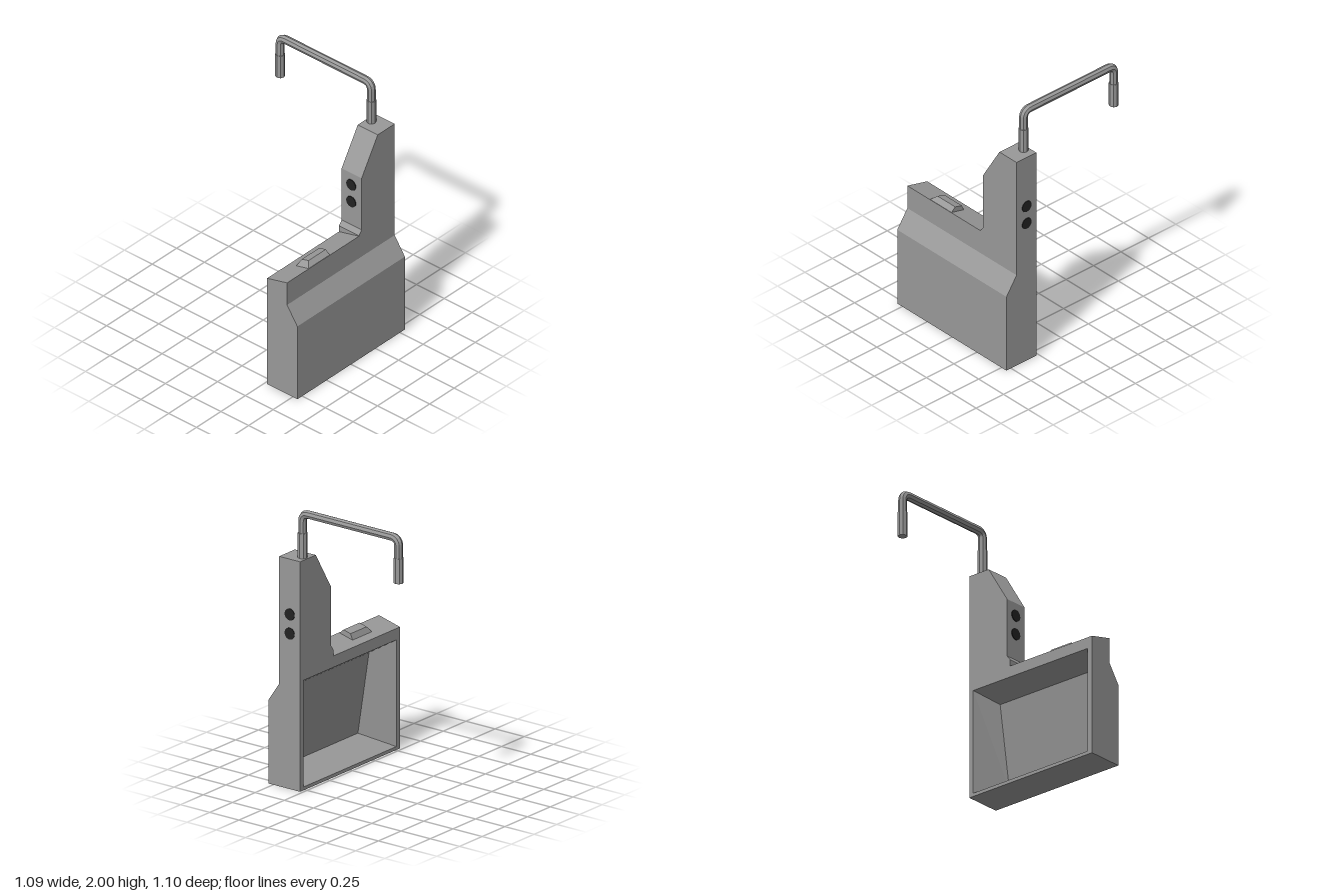
import * as THREE from 'three';

const grey = new THREE.MeshStandardMaterial({ color: 0x999999, flatShading: true });
grey.name = 'grey metal';
const black = new THREE.MeshStandardMaterial({ color: 0x222222, flatShading: true });
black.name = 'black';

// Flat-faced geometry from polygons, each fanned from its first corner
function faceted(polygons) {
  const pos = [];
  for (const p of polygons)
    for (let i = 1; i < p.length - 1; i++) pos.push(...p[0], ...p[i], ...p[i + 1]);
  const g = new THREE.BufferGeometry();
  g.setAttribute('position', new THREE.Float32BufferAttribute(pos, 3));
  g.computeVertexNormals();
  return g;
}

export function createModel() {
  const group = new THREE.Group();
  const add = (name, geometry, material = grey) => {
    const m = new THREE.Mesh(geometry, material);
    m.name = name;
    group.add(m);
    return m;
  };
  const X0 = 0.27, X1 = 0.45, Z = 0.55;

  // Lower housing: front profile swept along z, with a tapered recess on the inner side
  const profile = [[X0, 0], [0.542, 0], [0.542, 0.6], [X1, 0.735], [X1, 0.917], [X0, 0.872]];
  const faces = [
    profile.map(([x, y]) => [x, y, Z]),
    [profile[0], ...profile.slice(1).reverse()].map(([x, y]) => [x, y, -Z]),
  ];
  for (let i = 0; i < profile.length - 1; i++) {
    const [a, b] = [profile[i], profile[i + 1]];
    faces.push([[...a, Z], [...a, -Z], [...b, -Z], [...b, Z]]);
  }
  // Rings of the recess: outer edge, opening, floor
  const rings = [
    [[X0, 0, -Z], [X0, 0, Z], [X0, 0.872, Z], [X0, 0.872, -Z]],
    [[X0, 0.024, -0.515], [X0, 0.024, 0.51], [X0, 0.79, 0.51], [X0, 0.79, -0.515]],
    [[0.51, 0.1, -0.4], [0.51, 0.1, 0.395], [0.415, 0.7, 0.395], [0.415, 0.7, -0.4]],
  ];
  for (let r = 0; r < 2; r++)
    for (let i = 0; i < 4; i++) {
      const j = (i + 1) % 4;
      faces.push([rings[r][i], rings[r][j], rings[r + 1][j], rings[r + 1][i]]);
    }
  faces.push(rings[2]);
  add('housing', faceted(faces));

  // Tower: side profile (z, y) extruded across x
  const side = [[-0.185, 0.872], [-0.185, 0.92], [-0.212, 0.955], [-0.212, 1.38],
    [-0.377, 1.652], [-Z, 1.652], [-Z, 0.872]];
  const towerShape = new THREE.Shape(side.map(([z, y]) => new THREE.Vector2(-z, y)));
  const tower = new THREE.ExtrudeGeometry(towerShape, { depth: X1 - X0, bevelEnabled: false });
  tower.rotateY(Math.PI / 2).translate(X0, 0, 0);
  add('tower', tower);

  // Small raised catch on the sloping ledge
  const base = [[0.333, 0.885], [0.36, 0.893], [0.39, 0.9], [0.42, 0.908], [0.448, 0.914]];
  const top = [[0.333, 0.885], [0.352, 0.93], [0.382, 0.938], [0.412, 0.946], [0.448, 0.914]];
  const catchFaces = [top.map(([x, y]) => [x, y, 0.11])];
  for (let i = 0; i < 4; i++) {
    const zt = (k) => (k === 0 || k === 4 ? 0.328 : 0.288);
    const a = [...top[i], zt(i)], b = [...top[i + 1], zt(i + 1)];
    catchFaces.push([a, b, [...top[i + 1], 0.11], [...top[i], 0.11]]);
    catchFaces.push([[...base[i], 0.328], [...base[i + 1], 0.328], b, a]);
  }
  add('catch', faceted(catchFaces));

  // Dark round holes on the front and back of the tower
  const holes = [['frontHole', -0.21, 1.285], ['frontHole', -0.21, 1.147],
    ['backHole', -0.55, 1.255], ['backHole', -0.55, 1.117]];
  for (const [name, z, y] of holes) {
    const disc = new THREE.CylinderGeometry(0.042, 0.042, 0.008, 24).rotateX(Math.PI / 2);
    add(name, disc, black).position.set(0.358, y, z);
  }

  // Bent rod with a sleeve on each leg
  const L = -0.51, R = 0.312, ZR = -0.468, Y = 1.97, B = 0.055;
  const v = (x, y) => new THREE.Vector3(x, y, ZR);
  const path = new THREE.CurvePath();
  path.add(new THREE.LineCurve3(v(R, 1.8), v(R, Y - B)));
  path.add(new THREE.QuadraticBezierCurve3(v(R, Y - B), v(R, Y), v(R - B, Y)));
  path.add(new THREE.LineCurve3(v(R - B, Y), v(L + B, Y)));
  path.add(new THREE.QuadraticBezierCurve3(v(L + B, Y), v(L, Y), v(L, Y - B)));
  path.add(new THREE.LineCurve3(v(L, Y - B), v(L, 1.8)));
  add('rod', new THREE.TubeGeometry(path, 70, 0.03, 8));
  for (const x of [L, R])
    add('rodSleeve', new THREE.CylinderGeometry(0.034, 0.034, 0.18, 8)).position.set(x, 1.741, ZR);

  return group;
}
